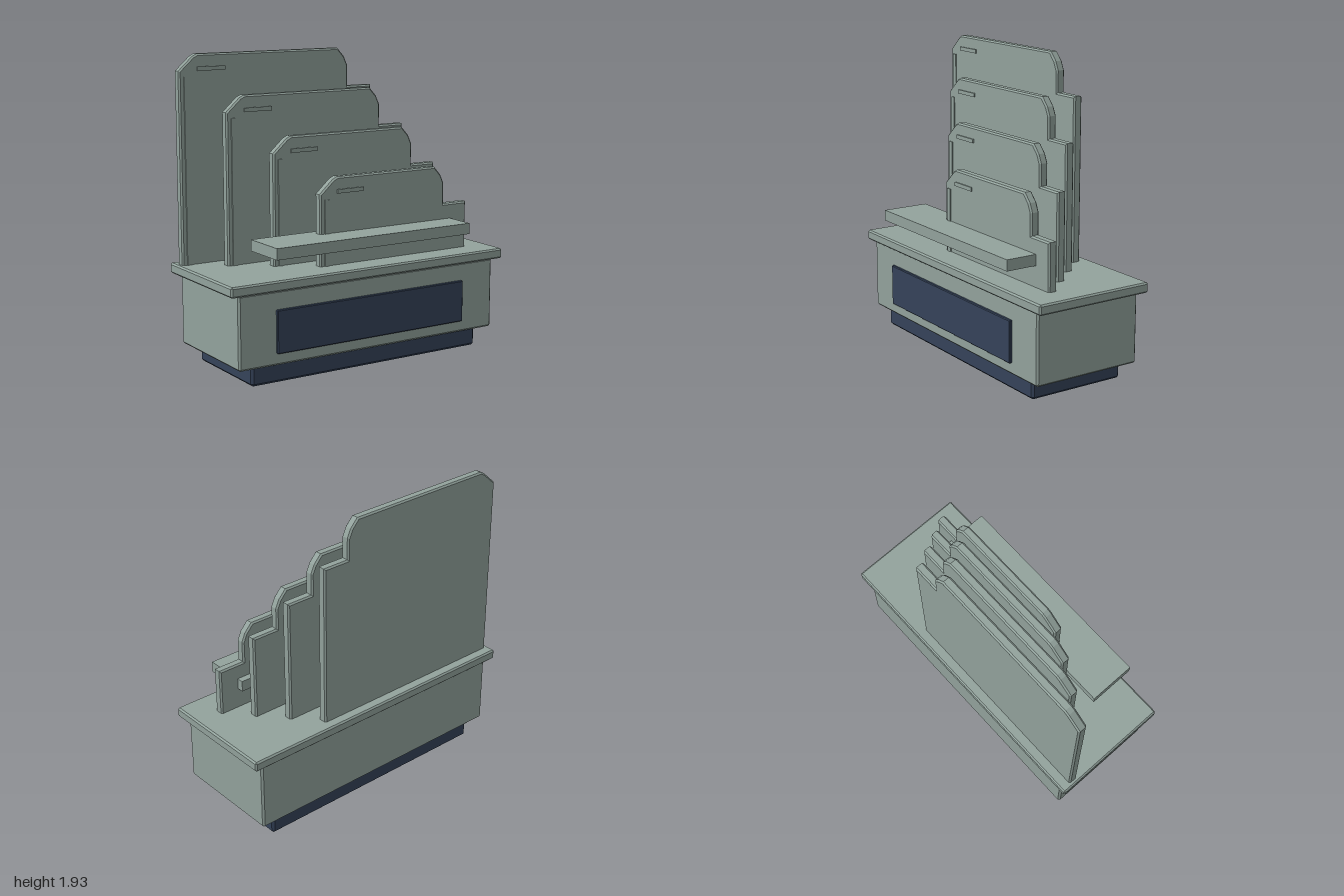
import * as THREE from 'three';
import { ConvexGeometry } from 'three/addons/geometries/ConvexGeometry.js';

const sage = new THREE.MeshStandardMaterial({ color: 0x93a39d });
sage.name = 'sage grey';
const navy = new THREE.MeshStandardMaterial({ color: 0x35435a });
navy.name = 'navy blue';

function add(parent, name, geometry, material) {
  const mesh = new THREE.Mesh(geometry, material);
  mesh.name = name;
  parent.add(mesh);
  return mesh;
}

// Box given by its limits, with every edge chamfered by c
function chamferBox(x0, x1, y0, y1, z0, z1, c) {
  const h = [(x1 - x0) / 2, (y1 - y0) / 2, (z1 - z0) / 2];
  const points = [];
  for (const sx of [-1, 1]) for (const sy of [-1, 1]) for (const sz of [-1, 1]) {
    for (let full = 0; full < 3; full++) {
      const p = h.map((v, i) => (i === full ? v : v - c));
      points.push(new THREE.Vector3(sx * p[0], sy * p[1], sz * p[2]));
    }
  }
  return new ConvexGeometry(points).translate((x0 + x1) / 2, (y0 + y1) / 2, (z0 + z1) / 2);
}

function box(x0, x1, y0, y1, z0, z1) {
  return new THREE.BoxGeometry(x1 - x0, y1 - y0, z1 - z0)
    .translate((x0 + x1) / 2, (y0 + y1) / 2, (z0 + z1) / 2);
}

// Upright panel with cut top corners and a lower step on its +x side
function panelGeometry(left, right, top, z) {
  const outline = [
    [left, 0.63], [right + 0.18, 0.63], [right + 0.18, top - 0.247], [right, top - 0.247],
    [right, top - 0.11], [right - 0.025, top - 0.055], [right - 0.075, top],
    [left + 0.125, top], [left + 0.095, top - 0.015], [left, top - 0.1],
  ].map(([x, y]) => new THREE.Vector2(x, y));
  const b = 0.01;
  return new THREE.ExtrudeGeometry(new THREE.Shape(outline), {
    depth: 0.06 - 2 * b, bevelEnabled: true, bevelThickness: b,
    bevelSize: b, bevelOffset: -b, bevelSegments: 1,
  }).translate(0, 0, z - 0.03 + b);
}

export function createModel() {
  const model = new THREE.Group();
  model.name = 'steppedPanelStand';

  // Base
  add(model, 'plinth', chamferBox(-0.835, 0.835, 0, 0.125, -0.34, 0.317, 0.015), navy);
  add(model, 'body', chamferBox(-0.94, 0.937, 0.12, 0.578, -0.38, 0.357, 0.012), sage);
  add(model, 'topSlab', chamferBox(-1, 1, 0.575, 0.64, -0.411, 0.385, 0.01), sage);
  add(model, 'frontPanel', chamferBox(-0.69, 0.687, 0.195, 0.463, 0.355, 0.378, 0.005), navy);

  // Four panels, each shorter and further forward than the last
  for (let i = 0; i < 4; i++) {
    const left = -0.975 + 0.23 * i;
    const right = 0.235 + 0.14 * i;
    const top = 1.932 - 0.248 * i;
    const z = -0.315 + 0.163 * i;
    const face = z + 0.03;
    const unit = new THREE.Group();
    unit.name = `panelUnit${i + 1}`;
    add(unit, 'panel', panelGeometry(left, right, top, z), sage);
    add(unit, 'verticalStrip', box(left + 0.032, left + 0.064, 0.64, top - 0.135, face - 0.005, face + 0.007), sage);
    add(unit, 'topSlot', box(left + 0.122, left + 0.313, top - 0.102, top - 0.077, face - 0.005, face + 0.009), sage);
    model.add(unit);
  }

  // Horizontal ledge crossing the front panel
  add(model, 'ledge', box(-0.71, 0.705, 0.772, 0.842, 0.1, 0.41), sage);
  return model;
}
